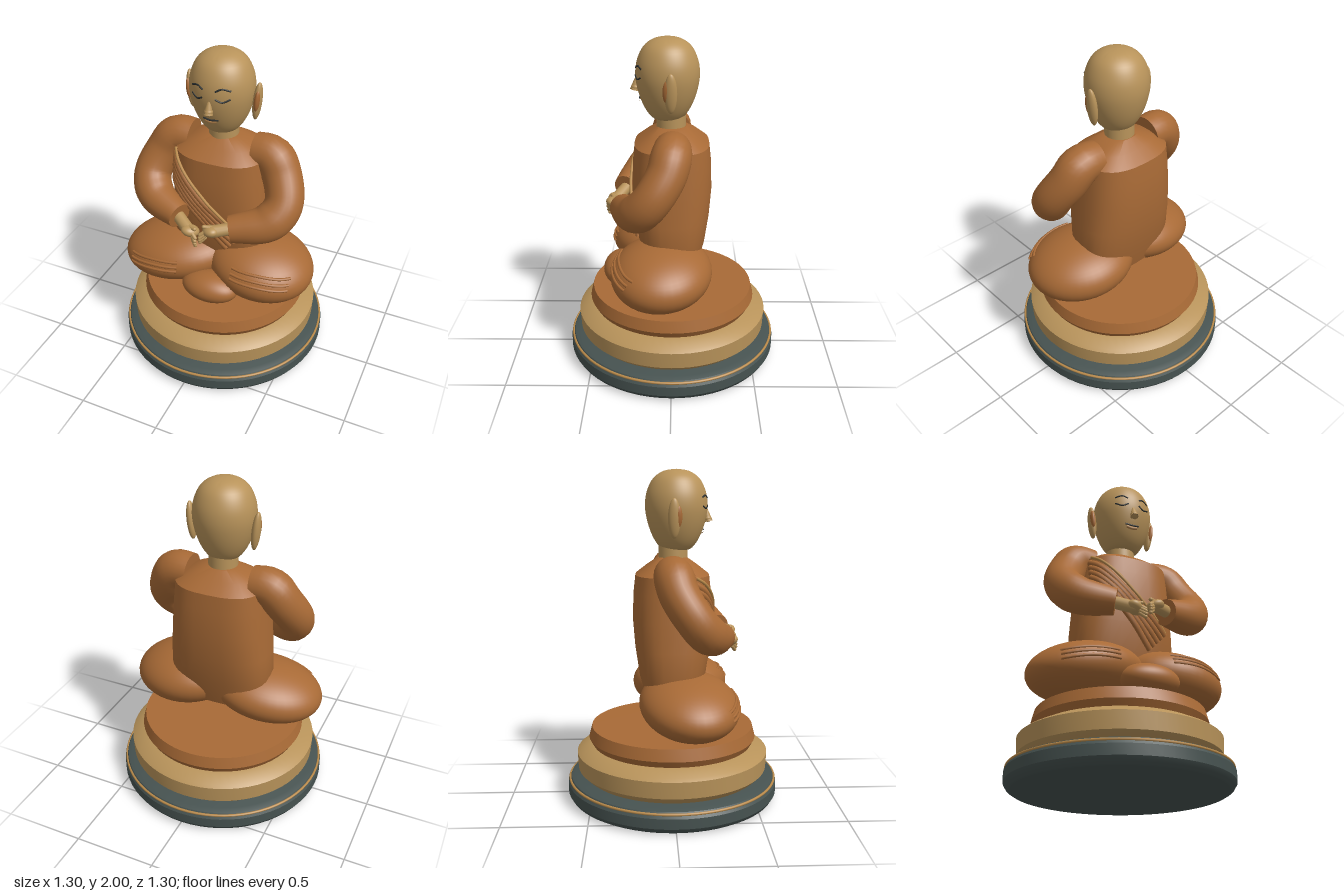
import * as THREE from 'three';
import { toCreasedNormals, mergeVertices } from 'three/addons/utils/BufferGeometryUtils.js';

const V = (x, y, z) => new THREE.Vector3(x, y, z);
const paint = (name, color) => {
  const m = new THREE.MeshStandardMaterial({ color });
  m.name = name;
  return m;
};

export function createModel() {
  const model = new THREE.Group();
  model.name = 'seatedFigure';
  const robe = paint('robe', 0xa86a36);
  const skin = paint('skin', 0xb8935a);
  const slate = paint('slate', 0x465250);
  const ink = paint('ink', 0x2a2e2e);
  const trim = paint('trim', 0xb98a4a);
  const lip = paint('lip', 0xb5834c);

  const add = (name, geometry, material, parent = model) => {
    const mesh = new THREE.Mesh(geometry, material);
    mesh.name = name;
    parent.add(mesh);
    return mesh;
  };
  const lathe = (name, pts, material, crease = 0.5) => add(name,
    toCreasedNormals(new THREE.LatheGeometry(pts.map(p => new THREE.Vector2(...p)), 64), crease), material);
  const ellipsoid = (name, c, r, material, rot = [0, 0, 0]) => {
    const mesh = add(name, new THREE.SphereGeometry(1, 40, 28), material);
    mesh.position.set(...c);
    mesh.scale.set(...r);
    mesh.rotation.set(...rot);
    return mesh;
  };
  const capsule = (name, a, b, r, material) => {
    const d = b.clone().sub(a);
    const mesh = add(name, new THREE.CapsuleGeometry(r, d.length(), 6, 14), material);
    mesh.position.copy(a).addScaledVector(d, 0.5);
    mesh.quaternion.setFromUnitVectors(V(0, 1, 0), d.normalize());
    return mesh;
  };
  // Tube whose radius changes along its length, with flat closed ends
  const taperedTube = (name, pts, radii, material) => {
    const seg = 34, sides = 24, curve = new THREE.CatmullRomCurve3(pts);
    const g = new THREE.TubeGeometry(curve, seg, 1, sides);
    const pos = g.attributes.position, p = V(0, 0, 0);
    for (let i = 0; i <= seg; i++) {
      const t = THREE.MathUtils.clamp((i - 1) / (seg - 2), 0, 1);
      const from = curve.getPointAt(i / seg), to = curve.getPointAt(t);
      const u = t * (radii.length - 1), k = Math.min(Math.floor(u), radii.length - 2);
      const r = i % seg === 0 ? 0 : THREE.MathUtils.lerp(radii[k], radii[k + 1], u - k);
      for (let j = 0; j <= sides; j++) {
        const n = i * (sides + 1) + j;
        p.fromBufferAttribute(pos, n).sub(from).multiplyScalar(r).add(to);
        pos.setXYZ(n, p.x, p.y, p.z);
      }
    }
    return add(name, toCreasedNormals(g, 0.9), material);
  };
  // Thin line laid over the front of a part through (x, y) points
  const ray = new THREE.Raycaster();
  const drape = (name, target, pts, r, material, lift = 0) => {
    target.updateMatrixWorld(true);
    const path = [];
    const flat = new THREE.CatmullRomCurve3(pts.map(([x, y]) => V(x, y, 0)));
    for (const q of flat.getPoints(14)) {
      ray.set(V(q.x, q.y, 3), V(0, 0, -1));
      const hit = ray.intersectObject(target)[0];
      if (hit) path.push(hit.point.clone().add(V(0, 0, lift)));
    }
    if (path.length < 2) return;
    add(name, new THREE.TubeGeometry(new THREE.CatmullRomCurve3(path), 28, r, 8), material);
  };

  // Pedestal
  lathe('plinth', [[0, 0], [0.61, 0], [0.635, 0.015], [0.65, 0.04], [0.65, 0.1], [0.63, 0.135], [0.6, 0.145], [0, 0.145]], slate);
  const ring = add('plinthTrim', new THREE.TorusGeometry(0.638, 0.008, 8, 72), trim);
  ring.rotation.x = Math.PI / 2;
  ring.position.y = 0.122;
  lathe('drum', [[0, 0.14], [0.53, 0.14], [0.55, 0.155], [0.585, 0.19], [0.59, 0.29], [0.57, 0.305], [0.5, 0.34], [0, 0.34]], skin);
  lathe('cushion', [[0, 0.335], [0.49, 0.335], [0.515, 0.38], [0.497, 0.45], [0, 0.455]], robe);

  // Crossed legs and foot
  const rightLeg = ellipsoid('rightLeg', [-0.26, 0.64, 0.09], [0.36, 0.172, 0.29], robe, [0, 0.2, 0.17]);
  const leftLeg = ellipsoid('leftLeg', [0.275, 0.653, 0.06], [0.335, 0.184, 0.3], robe, [0, -0.2, -0.1]);
  ellipsoid('coveredFoot', [0.04, 0.57, 0.31], [0.18, 0.09, 0.115], robe);
  for (let i = 0; i < 3; i++) {
    const d = i * 0.028;
    drape('legFold', rightLeg, [[-0.49, 0.66 - d], [-0.33, 0.69 - d], [-0.16, 0.705 - d]], 0.009, robe);
    drape('legFold', leftLeg, [[0.18, 0.75 - d], [0.35, 0.745 - d], [0.52, 0.72 - d]], 0.009, robe);
  }

  // Torso: rounded-square sections stacked upward [y, half width, half depth]
  const rows = [[0.6, 0.27, 0.15], [0.78, 0.32, 0.2], [0.95, 0.31, 0.225], [1.12, 0.295, 0.238],
    [1.28, 0.282, 0.232], [1.385, 0.272, 0.22], [1.44, 0.2, 0.15], [1.485, 0.09, 0.085], [1.487, 0, 0]];
  const sides = 32, verts = [], faces = [];
  rows.forEach(([y, w, d], i) => {
    for (let j = 0; j < sides; j++) {
      const a = j / sides * Math.PI * 2, c = Math.cos(a), s = Math.sin(a);
      verts.push(Math.sign(c) * Math.abs(c) ** 0.75 * w, y, Math.sign(s) * Math.abs(s) ** 0.75 * d);
      if (i === rows.length - 1) continue;
      const k = i * sides + j, n = i * sides + (j + 1) % sides;
      faces.push(k, k + sides, n, n, k + sides, n + sides);
    }
  });
  const torsoGeo = new THREE.BufferGeometry();
  torsoGeo.setAttribute('position', new THREE.Float32BufferAttribute(verts, 3));
  torsoGeo.setIndex(faces);
  const torso = add('torso', toCreasedNormals(torsoGeo, 0.5), robe);

  // Diagonal sash with a pale edge and parallel folds
  drape('sashEdge', torso, [[-0.25, 1.385], [-0.03, 1.16], [0.2, 0.93]], 0.009, trim, 0.012);
  for (let i = 0; i < 5; i++) {
    const d = 0.03 + i * 0.037;
    drape('sashFold', torso, [[-0.255, 1.38 - d], [-0.04, 1.16 - d], [0.2 - i * 0.025, 0.94 - d * 0.75]], 0.02, robe);
  }

  // Sleeves, hands and ears on both sides
  for (const [s, side] of [[1, 'left'], [-1, 'right']]) {
    taperedTube(side + 'Sleeve', [V(s * 0.2, 1.4, -0.005), V(s * 0.3, 1.395, 0), V(s * 0.37, 1.3, 0.03),
      V(s * 0.42, 1.16, 0.12), V(s * 0.36, 1.07, 0.2), V(s * 0.16, 1.025, 0.29)],
      [0.108, 0.118, 0.115, 0.112, 0.115, 0.1, 0.08], robe);
    const h = s > 0 ? 0.015 : -0.02; // one hand rests above the other
    const palm = V(s * 0.075, 1.005 + h, 0.345);
    capsule(side + 'Wrist', V(s * 0.2, 1.035, 0.27), palm, 0.037, skin);
    const hand = ellipsoid(side + 'Palm', palm.toArray(), [0.056, 0.034, 0.046], skin, [0, -s * 0.75, s * 0.3]);
    hand.position.x -= s * 0.01;
    for (let f = 0; f < 4; f++) {
      const o = f * 0.017;
      capsule(side + 'Finger', V(s * (0.05 - o * 0.2), 1.015 + h - o, 0.365),
        V(s * 0.016, 0.99 + h - o, 0.392 - Math.abs(f - 1.5) * 0.006), 0.0115, skin);
    }
    capsule(side + 'Thumb', V(s * 0.085, 1.03 + h, 0.34), V(s * 0.03, 1.035 + h, 0.36), 0.012, skin);
    ellipsoid(side + 'Ear', [s * 0.2, 1.72, 0.005], [0.025, 0.115, 0.036], skin, [0, 0, -s * 0.1]);
    ellipsoid(side + 'InnerEar', [s * 0.205, 1.73, 0.027], [0.016, 0.064, 0.024], robe, [0, 0, -s * 0.1]);
  }

  // Neck and egg-shaped head
  const neck = add('neck', new THREE.CylinderGeometry(0.086, 0.088, 0.14, 40), skin);
  neck.position.set(0, 1.5, 0.005);
  const headProfile = new THREE.SplineCurve([[0, 1.527], [0.075, 1.53], [0.115, 1.565], [0.15, 1.63], [0.175, 1.71],
    [0.185, 1.79], [0.174, 1.87], [0.137, 1.945], [0.075, 1.988], [0, 2]].map(p => new THREE.Vector2(...p)));
  const headPts = headProfile.getPoints(36).map(p => [Math.max(p.x, 0), p.y]);
  const head = lathe('head', headPts, skin, 1);
  head.position.z = 0.025;

  // Face
  const nose = add('nose', mergeVertices(new THREE.ConeGeometry(0.026, 0.12, 20)), skin);
  nose.position.set(0, 1.755, 0.203);
  nose.rotation.x = -0.22;
  ellipsoid('noseTip', [0, 1.712, 0.212], [0.024, 0.02, 0.024], skin);
  for (const s of [-1, 1]) {
    drape('brow', head, [[s * 0.035, 1.832], [s * 0.07, 1.848], [s * 0.112, 1.835]], 0.005, ink);
    drape('closedEye', head, [[s * 0.035, 1.79], [s * 0.073, 1.773], [s * 0.112, 1.79]], 0.005, ink);
    ellipsoid('nostril', [s * 0.012, 1.706, 0.231], [0.005, 0.004, 0.004], ink);
  }
  drape('lowerLip', head, [[-0.034, 1.64], [0, 1.634], [0.034, 1.64]], 0.01, lip);
  drape('mouthLine', head, [[-0.045, 1.653], [0, 1.648], [0.045, 1.653]], 0.005, ink, 0.004);

  return model;
}
